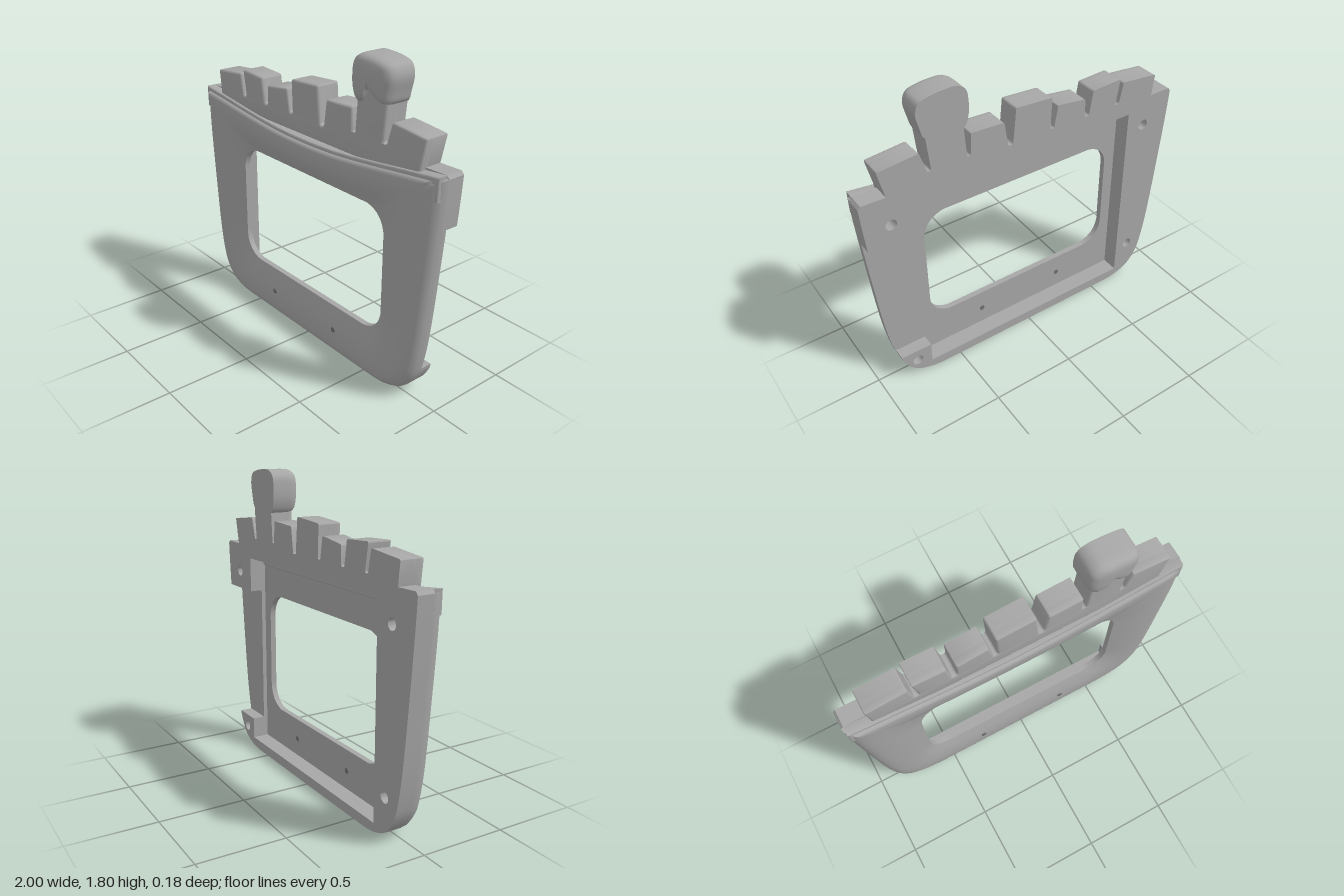
import * as THREE from 'three';
import { toCreasedNormals } from 'three/addons/utils/BufferGeometryUtils.js';

const BACK = -0.09, NOTCH = -0.015, FLOOR = 0.01; // depth levels of the frame
const V = (x, y) => new THREE.Vector2(x, y);
const toV = list => list.map(([x, y]) => V(x, y));
const spline = (list, n) => new THREE.SplineCurve(toV(list)).getPoints(n);
const mirror = pts => pts.map(p => V(-p.x, p.y));

// Rounds every corner of an open polyline
function rounded(list, r) {
  const p = toV(list), out = [p[0]];
  for (let i = 1; i < p.length - 1; i++) {
    const a = p[i].clone().add(p[i - 1].clone().sub(p[i]).setLength(r));
    const b = p[i].clone().add(p[i + 1].clone().sub(p[i]).setLength(r));
    out.push(...new THREE.QuadraticBezierCurve(a, p[i], b).getPoints(4));
  }
  return [...out, p[p.length - 1]];
}

function extrude(pts, z0, z1, holes = [], bevel = 0) {
  const shape = new THREE.Shape(pts);
  shape.holes.push(...holes);
  const g = new THREE.ExtrudeGeometry(shape, {
    depth: z1 - z0 - 2 * bevel, bevelEnabled: bevel > 0, bevelSize: bevel,
    bevelThickness: bevel, bevelOffset: -bevel, bevelSegments: 3, curveSegments: 10,
  });
  g.translate(0, 0, z0 + bevel);
  return toCreasedNormals(g, 0.6);
}

// Skins a list of closed rings of [x, y, z], each counter-clockwise from the front
function loft(rings, crease) {
  const n = rings[0].length, idx = [];
  for (let j = 0; j < rings.length - 1; j++) {
    for (let i = 0; i < n; i++) {
      const k = (i + 1) % n, a = j * n + i, b = j * n + k;
      idx.push(a, b, b + n, a, b + n, a + n);
    }
  }
  const g = new THREE.BufferGeometry();
  g.setAttribute('position', new THREE.Float32BufferAttribute(rings.flat(2), 3));
  g.setIndex(idx);
  return toCreasedNormals(g, crease);
}

function roundedRect(x0, y0, x1, y1, r) {
  const s = new THREE.Shape();
  s.moveTo(x0 + r, y0);
  s.lineTo(x1 - r, y0);
  s.quadraticCurveTo(x1 - r * 0.15, y0 + r * 0.15, x1, y0 + r);
  s.lineTo(x1, y1 - r);
  s.quadraticCurveTo(x1 - r * 0.15, y1 - r * 0.15, x1 - r, y1);
  s.lineTo(x0 + r, y1);
  s.quadraticCurveTo(x0 + r * 0.15, y1 - r * 0.15, x0, y1 - r);
  s.lineTo(x0, y0 + r);
  s.quadraticCurveTo(x0 + r * 0.15, y0 + r * 0.15, x0 + r, y0);
  return s;
}

export function createModel() {
  const group = new THREE.Group();
  const grey = new THREE.MeshStandardMaterial({ color: 0xa6a6a6 });
  grey.name = 'grey';
  const darkGrey = new THREE.MeshStandardMaterial({ color: 0x707070 });
  darkGrey.name = 'dark grey';
  const add = (name, geometry, material = grey) => {
    const m = new THREE.Mesh(geometry, material);
    m.name = name;
    group.add(m);
    return m;
  };

  // Outline curves
  const right = spline([[0.6, 0], [0.69, 0.01], [0.79, 0.05], [0.855, 0.13], [0.89, 0.23],
    [0.925, 0.44], [0.965, 0.85], [0.99, 1.15], [1, 1.31]], 48);
  const left = mirror(right);
  const topHalf = [[0.8, 1.292], [0.5, 1.256], [0.25, 1.233]];
  const top = spline([[1, 1.315], ...topHalf, [0, 1.226],
    ...topHalf.map(([x, y]) => [-x, y]).reverse(), [-1, 1.315]], 48);

  // Stubby blocks along the top, left to right, with the tall neck near the right end
  const blocks = rounded([[-0.85, 1.325], [-0.865, 1.455], [-0.63, 1.478], [-0.605, 1.35], [-0.578, 1.35],
    [-0.605, 1.507], [-0.415, 1.497], [-0.392, 1.35], [-0.362, 1.35],
    [-0.362, 1.463], [-0.178, 1.487], [-0.155, 1.355], [-0.13, 1.355],
    [-0.138, 1.547], [0.09, 1.562], [0.11, 1.35], [0.14, 1.35],
    [0.162, 1.502], [0.362, 1.512], [0.368, 1.38], [0.388, 1.38],
    [0.408, 1.66], [0.622, 1.66], [0.595, 1.38], [0.618, 1.38],
    [0.655, 1.505], [0.885, 1.482], [0.85, 1.325]], 0.012);
  const crest = [V(-0.985, 1.328), ...blocks, V(0.985, 1.328)];

  // Back frame: walls round the pocket, open to a notch on one side
  const px = 0.69, py0 = 0.06, py1 = 1.25, n0 = 0.19, n1 = 1.04;
  const down = [...right].reverse();
  const screws = [[0.78, 0.115], [-0.78, 0.24], [0.84, 1.15], [-0.81, 1.14]].map(([x, y]) =>
    new THREE.Path().absarc(x, y, 0.032, 0, Math.PI * 2));
  add('backFrame', extrude([V(px, n0), V(0.877, n0), ...down.filter(p => p.y < n0 - 0.005), ...left, ...crest,
    ...down.filter(p => p.y > n1 + 0.005), V(0.981, n1), V(px, n1),
    V(px, py1), V(-px, py1), V(-px, py0), V(px, py0)], BACK, NOTCH, screws));

  // Middle layer: carries the notch floor and the rest of the pocket wall
  const pocket = new THREE.Path(toV([[-px, py0], [px, py0], [px, py1], [-px, py1]]));
  add('middleFrame', extrude([...down, ...left, ...crest], NOTCH, FLOOR, [pocket]));

  // Front of the blocks, with softened edges
  add('topBlocks', extrude([V(-0.85, 1.255), ...blocks, V(0.85, 1.255)], -0.012, 0.05, [], 0.012));

  // Stepped lip just behind the top of the bezel
  add('topLip', extrude([V(0.985, 1.2), ...top.map(p => V(p.x * 0.987, p.y + 0.013)), V(-0.985, 1.2)],
    0.002, 0.066, [], 0.008));

  // Front bezel: soft outer edge, sinking toward the window
  const outer = [...right, ...top.slice(1), ...[...left].reverse().slice(1)];
  const cy = 0.665;
  const windowPts = roundedRect(-0.62, 0.295, 0.62, 1.03, 0.13).getSpacedPoints(400);
  const ang = p => Math.atan2(p.y - cy, p.x);
  const inner = outer.map(p => {
    const a = ang(p);
    let best = windowPts[0], err = 9;
    for (const w of windowPts) {
      const d = Math.abs(Math.sin((ang(w) - a) / 2));
      if (d < err) { err = d; best = w; }
    }
    return best;
  });
  const profile = [[0, FLOOR], [0.01, 0.035], [0.04, 0.056], [0.1, 0.073], [0.18, 0.082], [0.28, 0.085],
    [0.45, 0.083], [0.6, 0.077], [0.75, 0.067], [0.88, 0.055], [1, 0.044], [1, FLOOR], [0, FLOOR]];
  const isTop = i => i > right.length && i < right.length + top.length - 2;
  add('frontBezel', loft(profile.map(([t, z]) => outer.map((p, i) => {
    const s = isTop(i) && t < 0.3 ? t * 0.45 : t; // tighter edge along the top
    const q = p.clone().lerp(inner[i], s);
    return [q.x, q.y, z];
  })), 0.7));

  // Rounded cap on the neck, with a notched lower edge
  const capCurve = new THREE.CatmullRomCurve3([[0.42, 1.55], [0.45, 1.565], [0.49, 1.635], [0.54, 1.6],
    [0.59, 1.575], [0.62, 1.58], [0.64, 1.64], [0.655, 1.72], [0.635, 1.772], [0.59, 1.79], [0.5, 1.802],
    [0.42, 1.798], [0.378, 1.765], [0.366, 1.7], [0.37, 1.62], [0.395, 1.56]]
    .map(([x, y]) => new THREE.Vector3(x, y, 0)), true);
  const capPts = capCurve.getPoints(80).slice(0, 80);
  const capRings = [[0.001, BACK], [1, BACK], [1, 0.01], [0.985, 0.035], [0.94, 0.055], [0.86, 0.069],
    [0.7, 0.08], [0.4, 0.085], [0.001, 0.086]];
  add('neckCap', loft(capRings.map(([s, z]) => capPts.map(p =>
    [0.51 + (p.x - 0.51) * s, 1.7 + (p.y - 1.7) * s, z])), 0.8));

  // Pin holes below the window, front and back
  for (const x of [-0.28, 0.28]) {
    for (const [z, side] of [[0.084, 'front'], [FLOOR, 'back']]) {
      const g = new THREE.CylinderGeometry(0.016, 0.016, 0.006, 20).rotateX(Math.PI / 2);
      add(side + 'PinHole', g, darkGrey).position.set(x, 0.17, z);
    }
  }
  return group;
}
